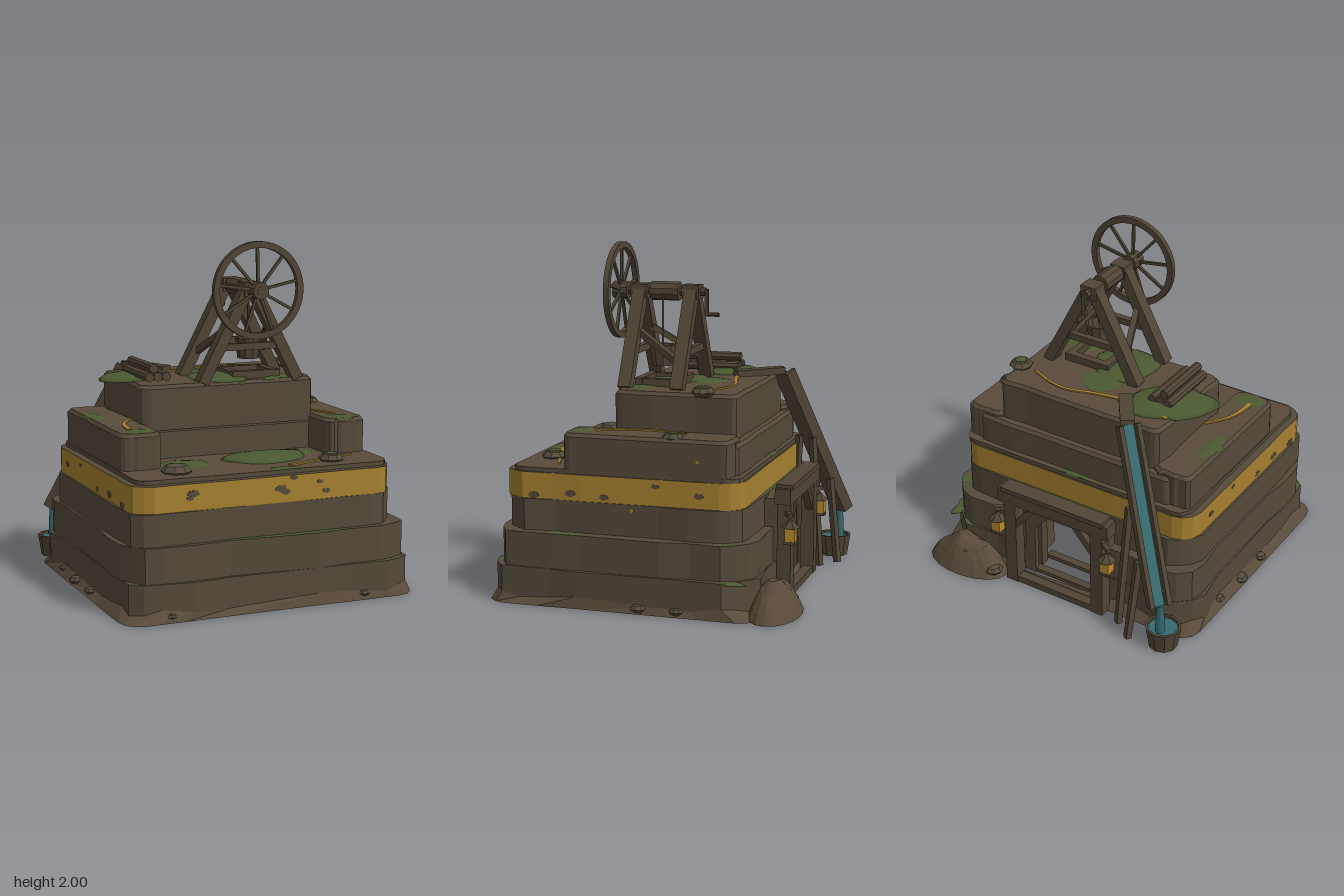
import * as THREE from 'three';

const mat = (name, color, side = THREE.FrontSide) => {
  const m = new THREE.MeshStandardMaterial({ color, side });
  m.name = name;
  return m;
};
const rock = mat('rock', 0x554a3b, THREE.DoubleSide);
const dirt = mat('dirt', 0x594b3b, THREE.DoubleSide);
const grass = mat('grass', 0x4a5a31, THREE.DoubleSide);
const gold = mat('gold ore', 0xa5802f, THREE.DoubleSide);
const wood = mat('wood', 0x504535);
const stone = mat('stone', 0x544c3d);
const water = mat('water', 0x36686e);
const glow = mat('lantern glass', 0xb88a2c);
const MATS = [rock, dirt, grass, gold];

const V = (x, y, z) => new THREE.Vector3(x, y, z);
const rng = (s) => () => ((s = (s * 16807) % 2147483647) / 2147483647);
const flat = (g) => {
  const f = g.index ? g.toNonIndexed() : g;
  f.computeVertexNormals();
  return f;
};

export function createModel() {
  const root = new THREE.Group();
  root.name = 'hilltopMine';

  const add = (name, geo, m, pos = [0, 0, 0], parent = root) => {
    const mesh = new THREE.Mesh(geo, m);
    mesh.name = name;
    mesh.position.set(...pos);
    parent.add(mesh);
    return mesh;
  };
  const box = (name, size, pos, m = wood, parent = root) => add(name, new THREE.BoxGeometry(...size), m, pos, parent);
  const beam = (name, a, b, w, h, parent = root) => {
    const mesh = box(name, [w, h, a.distanceTo(b)], a.clone().lerp(b, 0.5).toArray(), wood, parent);
    mesh.lookAt(b.clone().add(parent.position));
    return mesh;
  };
  const rod = (name, r, len, pos, sides = 10, parent = root) =>
    add(name, flat(new THREE.CylinderGeometry(r, r, len, sides).rotateX(Math.PI / 2)), wood, pos, parent);

  // Rounded, slightly uneven rectangle; 4 corner points then 4 side points per side
  const ring = (y, [x0, x1, z0, z1], r, jitter, seed) => {
    const rand = rng(seed * 7919 + 13), pts = [];
    const centres = [[x0 + r, z0 + r], [x1 - r, z0 + r], [x1 - r, z1 - r], [x0 + r, z1 - r]];
    const at = (c, a) => [centres[c][0] + r * Math.cos(a), centres[c][1] + r * Math.sin(a)];
    for (let c = 0; c < 4; c++) {
      const a0 = Math.PI * (1 + c / 2);
      for (let i = 0; i < 4; i++) pts.push(at(c, a0 + (i * Math.PI) / 6));
      const p = at(c, a0 + Math.PI / 2), q = at((c + 1) % 4, a0 + Math.PI / 2);
      for (const t of [0.15, 0.3, 0.7, 0.85]) pts.push([p[0] + (q[0] - p[0]) * t, p[1] + (q[1] - p[1]) * t]);
    }
    return pts.map(([x, z]) => {
      const k = 1 - jitter * rand();
      return V(x * k, y, z * k);
    });
  };
  // Skin between rings; pick(k, i) gives the material index, or -1 for a gap
  const loft = (name, rings, pick, cap = -1) => {
    const tris = [[], [], [], []];
    const put = (m, ...ps) => ps.forEach((p) => tris[m].push(p.x, p.y, p.z));
    const n = rings[0].length;
    for (let k = 0; k + 1 < rings.length; k++) for (let i = 0; i < n; i++) {
      const m = pick(k, i), j = (i + 1) % n, [a, b] = [rings[k], rings[k + 1]];
      if (m >= 0) put(m, a[i], b[i], a[j], a[j], b[i], b[j]);
    }
    if (cap >= 0) {
      const top = rings[rings.length - 1], mid = V(0, 0, 0);
      top.forEach((p) => mid.addScaledVector(p, 1 / n));
      top.forEach((p, i) => put(cap, p, mid, top[(i + 1) % n]));
    }
    const geo = new THREE.BufferGeometry();
    geo.setAttribute('position', new THREE.Float32BufferAttribute(tris.flat(), 3));
    let start = 0;
    tris.forEach((t, m) => {
      if (t.length) geo.addGroup(start, t.length / 3, m);
      start += t.length / 3;
    });
    geo.computeVertexNormals();
    return add(name, geo, MATS);
  };

  // Hollow stepped hill with a doorway at the back and mossy stretches on its ledges
  const bands = [
    [0.01, 0.21, [-0.88, 0.88, -0.69, 0.88], 0.05, 0.18],
    [0.21, 0.41, [-0.86, 0.86, -0.68, 0.86], 0.045, 0.18],
    [0.41, 0.59, [-0.835, 0.8, -0.615, 0.825], 0.035, 0.15],
    [0.59, 0.74, [-0.815, 0.775, -0.59, 0.807], 0.012, 0.12],
    [0.74, 0.765, [-0.775, 0.765, -0.58, 0.765], 0.01, 0.08],
  ];
  const moss = { 1: [8, 9, 10, 18, 19, 20, 22, 23, 24, 25, 26, 27, 28], 3: [14, 20, 21, 24, 25, 10], 5: [5, 19, 22, 23, 26], 7: [] };
  const hill = bands.flatMap(([y0, y1, e, j, r], s) => [y0, y1].map((y) => ring(y, e, r, j, s + 1)));
  loft('steppedHill', hill, (k, i) => {
    if (k < 5 && i === 5) return -1;
    if (k === 6) return 3;
    return k % 2 && moss[k].includes(i) ? 2 : 0;
  }, 1);
  loft('hollowCeiling', [hill[5].map((p) => V(p.x, 0.588, p.z))], () => 0, 0);
  const skirtTop = hill[0].map((p, i) => V(p.x, 0.05 + 0.018 * Math.sin(i * 1.9), p.z));
  loft('groundSkirt', [ring(0, [-0.895, 0.89, -0.71, 0.885], 0.12, 0.006, 9), skirtTop], () => 1);

  // Upper blocks with a small bevel round the top
  const block = (name, y0, y1, [x0, x1, z0, z1], seed) => {
    const w = (x1 - x0) / 2, d = (z1 - z0) / 2;
    const rings = [[y0, 0], [y1 - 0.02, 0], [y1, 0.015]].map(([y, i]) =>
      ring(y, [-w + i, w - i, -d + i, d - i], 0.05, 0.025, seed));
    loft(name, rings, () => 0, 1).position.set((x0 + x1) / 2, 0, (z0 + z1) / 2);
  };
  block('middleTier', 0.76, 0.94, [-0.67, 0.67, -0.55, 0.22], 11);
  block('topTier', 0.93, 1.19, [-0.55, 0.545, -0.5, 0.225], 12);
  block('sideShoulder', 0.76, 0.97, [-0.765, -0.515, -0.53, 0.48], 13);
  block('sideShoulder', 0.76, 0.97, [0.505, 0.765, -0.53, 0.46], 14);

  // Chips of rock breaking up the gold band, and specks of gold on the side rock
  const chip = (m, s, k, onSide, pos) => {
    const g = new THREE.CylinderGeometry(s / 2, s / 2, 0.008, 5).rotateX(Math.PI / 2).scale(k, 0.7, 1);
    add(m === gold ? 'goldSpeck' : 'rockChip', onSide ? g.rotateY(Math.PI / 2) : g, m, pos);
  };
  for (const [x, y, s] of [[-0.47, 0.685, 0.06], [-0.49, 0.66, 0.035], [0.05, 0.67, 0.06], [0.08, 0.65, 0.05], [0.13, 0.725, 0.04], [0.33, 0.635, 0.04], [0.29, 0.69, 0.035]])
    chip(rock, s, 1.3, false, [x, y, 0.803]);
  for (const [z, y, s] of [[0.62, 0.61, 0.06], [0.4, 0.63, 0.06], [0.2, 0.62, 0.05], [-0.1, 0.7, 0.04], [-0.35, 0.66, 0.05]])
    for (const x of [-0.811, 0.772]) chip(rock, s, 1.2, true, [x, y, z]);
  chip(gold, 0.05, 0.6, true, [0.792, 0.56, 0.03]);
  chip(gold, 0.03, 0.8, true, [0.763, 0.85, -0.34]);

  // Grass mounds: x, y, z, half sizes, height, turn
  for (const [x, y, z, rx, rz, h, turn] of [
    [-0.44, 1.185, -0.19, 0.26, 0.19, 0.035, 0.6], [0.0, 1.185, 0.03, 0.2, 0.21, 0.03, 0.2],
    [0.02, 1.185, -0.2, 0.14, 0.12, 0.015, 0], [0.33, 1.185, 0.12, 0.15, 0.09, 0.012, 0.4],
    [0.14, 0.76, 0.4, 0.27, 0.18, 0.035, 0.1], [0.34, 0.76, 0.33, 0.15, 0.11, 0.014, 0.3],
    [-0.38, 0.76, 0.41, 0.18, 0.13, 0.015, 0], [0.62, 0.962, 0.38, 0.1, 0.08, 0.014, 0],
    [-0.64, 0.962, 0.38, 0.11, 0.09, 0.014, 0], [-0.7, 0.962, -0.17, 0.055, 0.17, 0.014, 0],
    [0.1, 0.76, 0.72, 0.09, 0.035, 0.012, 0], [-0.03, 0.76, -0.56, 0.12, 0.02, 0.012, 0], [0.83, 0.2, -0.5, 0.045, 0.14, 0.015, 0],
  ]) {
    const g = new THREE.SphereGeometry(1, 20, 3, 0, Math.PI * 2, 0, Math.PI / 2);
    const p = g.attributes.position;
    for (let i = 0; i < p.count; i++) {
      const a = Math.atan2(p.getZ(i), p.getX(i)), k = 1 + 0.06 * Math.sin(3 * a + x * 20) + 0.04 * Math.sin(5 * a + z * 9);
      p.setXYZ(i, p.getX(i) * k, p.getY(i), p.getZ(i) * k);
    }
    add('grassPatch', g.scale(rx, h, rz), grass, [x, y, z]).rotation.y = turn;
  }

  // Gold veins lying on the flat tops
  const vein = (y, pts) => {
    const c = new THREE.CatmullRomCurve3(pts.map(([x, z]) => V(x, 0, z)));
    const ps = c.getPoints(16), l = [], r = [];
    ps.forEach((p, i) => {
      const t = c.getTangent(i / 16), w = 0.007 + 0.008 * (1 - i / 16);
      l.push(new THREE.Vector2(p.x - t.z * w, -p.z - t.x * w));
      r.unshift(new THREE.Vector2(p.x + t.z * w, -p.z + t.x * w));
    });
    const g = new THREE.ExtrudeGeometry(new THREE.Shape([...l, ...r]), { depth: 0.008, bevelEnabled: false });
    add('goldVein', g.rotateX(-Math.PI / 2), gold, [0, y, 0]);
  };
  vein(1.19, [[-0.51, -0.35], [-0.38, -0.32], [-0.18, -0.31], [0.02, -0.35], [0.14, -0.385], [0.26, -0.37], [0.41, -0.31]]);
  vein(0.97, [[0.63, 0.3], [0.57, 0.15], [0.55, -0.02], [0.61, -0.23]]);
  vein(0.97, [[-0.67, 0.35], [-0.64, 0.17], [-0.545, 0.02]]);
  vein(0.765, [[0.17, 0.67], [0.4, 0.6], [0.63, 0.52]]);

  // Loose flat boulders, some with a mossy top
  const boulder = (x, y, z, r, mossy) => {
    const lump = (s) => flat(new THREE.SphereGeometry(s, 8, 4).scale(1, 0.5, 1));
    add('boulder', lump(r), stone, [x, y, z]).rotation.y = x * 9;
    if (mossy) add('boulderMoss', lump(r * 0.7), grass, [x, y + r * 0.22, z]);
  };
  [[-0.49, 0.775, 0.6, 0.088, 0], [0.45, 0.775, 0.62, 0.075, 1], [0.52, 1.2, -0.3, 0.07, 1], [0.7, 0.97, -0.18, 0.062, 1],
    [-0.62, 0.03, 0.85, 0.035, 1], [0.55, 0.035, 0.85, 0.04, 0], [0.86, 0.03, -0.03, 0.05, 0], [0.86, 0.03, -0.25, 0.045, 0],
    [-0.86, 0.03, 0.2, 0.04, 0], [-0.86, 0.03, -0.05, 0.05, 0], [-0.85, 0.04, -0.3, 0.04, 0], [0.43, 0.04, -0.78, 0.06, 0],
    [0.75, 0.09, -0.78, 0.03, 0], [0.6, 0.13, -0.81, 0.025, 0]].forEach((b) => boulder(...b));

  // Spoil heap at the back corner
  const heap = new THREE.SphereGeometry(1, 18, 6, 0, Math.PI * 2, 0, Math.PI / 2);
  const hp = heap.attributes.position;
  for (let i = 0; i < hp.count; i++) {
    const y = Math.max(0, hp.getY(i));
    hp.setY(i, Math.pow(y, 2) * (1 + 0.08 * Math.sin(hp.getX(i) * 9)));
  }
  add('spoilHeap', flat(heap.scale(0.27, 0.2, 0.15)), dirt, [0.63, 0, -0.75]);

  // Hoist: two A-frames, axle, drum, wheel, crank, rope and bucket
  const hoist = new THREE.Group();
  hoist.name = 'hoist';
  hoist.position.x = 0.13;
  root.add(hoist);
  for (const z of [0.19, -0.12]) {
    for (const s of [-1, 1]) beam('frameLeg', V(s * 0.3, 1.185, z), V(s * 0.01, 1.74, z), 0.075, 0.065, hoist);
    box('crossbar', [0.36, 0.04, 0.04], [0, 1.385, z], wood, hoist);
    box('bearing', [0.1, 0.08, 0.1], [0, 1.72, z], wood, hoist);
  }
  for (const s of [-1, 1]) beam('sideBrace', V(s * 0.12, 1.5, 0.17), V(s * 0.21, 1.33, -0.1), 0.035, 0.035, hoist);
  rod('axle', 0.025, 0.56, [0, 1.72, 0.08], 8, hoist);
  rod('drum', 0.055, 0.17, [0, 1.72, 0.04], 10, hoist);
  rod('wheelHub', 0.05, 0.09, [0, 1.72, 0.312], 10, hoist);
  const rim = new THREE.Shape().absarc(0, 0, 0.28, 0, Math.PI * 2);
  rim.holes.push(new THREE.Path().absarc(0, 0, 0.243, 0, Math.PI * 2, true));
  add('wheelRim', new THREE.ExtrudeGeometry(rim, { depth: 0.032, bevelEnabled: false, curveSegments: 28 }), wood, [0, 1.72, 0.296], hoist);
  for (let i = 0; i < 9; i++) {
    const a = (i / 9) * Math.PI * 2 + 0.2;
    const spoke = box('wheelSpoke', [0.23, 0.016, 0.016], [Math.cos(a) * 0.14, 1.72 + Math.sin(a) * 0.14, 0.312], wood, hoist);
    spoke.rotation.z = a;
  }
  box('crankArm', [0.025, 0.15, 0.02], [0, 1.66, -0.205], wood, hoist);
  rod('crankHandle', 0.012, 0.08, [0, 1.59, -0.24], 8, hoist);
  add('rope', new THREE.CylinderGeometry(0.007, 0.007, 0.3, 6), wood, [0.06, 1.56, 0.04], hoist);
  const pail = (name, r, h, pos, parent = root) => {
    const p = [[0, 0], [r * 0.8, 0], [r, h], [r * 0.85, h], [r * 0.7, h * 0.2], [0, h * 0.2]];
    add(name, flat(new THREE.LatheGeometry(p.map((q) => new THREE.Vector2(...q)), 10)), wood, pos, parent);
  };
  pail('hoistBucket', 0.08, 0.12, [0.06, 1.295, 0.04], hoist);
  for (const s of [-1, 1]) {
    box('shaftCurb', [0.3, 0.05, 0.045], [0.06, 1.21, 0.03 + s * 0.11], wood, hoist);
    box('shaftCurb', [0.045, 0.045, 0.22], [0.06 + s * 0.125, 1.21, 0.03], wood, hoist);
  }

  // Stack of logs on the top tier
  for (const [x, y, l] of [[-0.465, 1.225, 0.4], [-0.41, 1.225, 0.38], [-0.36, 1.225, 0.39], [-0.435, 1.275, 0.38]])
    rod('stackedLog', 0.028, l, [x, y, -0.07], 8);

  // Mine entrance: short tunnel with an arched end, timber frame, sill and lanterns
  for (const s of [-1, 1]) {
    box('tunnelWall', [0.02, 0.57, 0.36], [s * 0.31, 0.285, -0.5], rock);
    box('doorPost', [0.08, 0.56, 0.08], [s * 0.3, 0.28, -0.725]);
    box('innerPost', [0.06, 0.5, 0.06], [s * 0.26, 0.25, -0.52]);
    beam('doorBrace', V(s * 0.28, 0.4, -0.735), V(s * 0.14, 0.56, -0.735), 0.04, 0.04);
    beam('lanternBracket', V(s * 0.33, 0.5, -0.74), V(s * 0.4, 0.5, -0.78), 0.025, 0.025);
    box('lanternGlass', [0.06, 0.085, 0.06], [s * 0.38, 0.39, -0.775], glow);
    box('lanternBase', [0.065, 0.018, 0.065], [s * 0.38, 0.343, -0.775]);
    add('lanternCap', flat(new THREE.ConeGeometry(0.055, 0.05, 6)), wood, [s * 0.38, 0.455, -0.775]);
  }
  box('tunnelRoof', [0.64, 0.02, 0.36], [0, 0.565, -0.5], rock);
  const arch = new THREE.Shape([[-0.31, 0], [-0.22, 0], [-0.22, 0.32], [-0.13, 0.43], [0.13, 0.43], [0.22, 0.32], [0.22, 0], [0.31, 0], [0.31, 0.56], [-0.31, 0.56]]
    .map((p) => new THREE.Vector2(...p)));
  add('tunnelArch', new THREE.ExtrudeGeometry(arch, { depth: 0.03, bevelEnabled: false }), rock, [0, 0, -0.63]);
  box('lintel', [0.76, 0.09, 0.09], [0, 0.6, -0.725]);
  box('lintelCap', [0.7, 0.03, 0.1], [0, 0.65, -0.73]);
  box('innerLintel', [0.58, 0.06, 0.06], [0, 0.5, -0.52]);
  box('doorSill', [0.6, 0.04, 0.06], [0, 0.02, -0.73]);
  for (const z of [-0.6, -0.45]) box('trackTie', [0.5, 0.025, 0.05], [0, 0.015, z]);

  // Water trough running down from the top tier, on trestles
  const head = V(-0.36, 1.2, -0.53), foot = V(-0.75, 0.29, -0.82);
  const trough = new THREE.Group();
  trough.name = 'waterTrough';
  trough.position.copy(head).lerp(foot, 0.5);
  root.add(trough);
  trough.lookAt(foot);
  const len = head.distanceTo(foot);
  box('troughFloor', [0.12, 0.02, len], [0, 0, 0], wood, trough);
  for (const s of [-1, 1]) box('troughSide', [0.026, 0.07, len], [s * 0.052, 0.025, 0], wood, trough);
  box('flowingWater', [0.062, 0.012, len], [0, 0.016, 0], water, trough);
  beam('feedPlank', V(-0.37, 1.215, -0.54), V(-0.2, 1.205, -0.29), 0.08, 0.04);
  for (const t of [0.42, 0.72]) {
    const top = head.clone().lerp(foot, t);
    top.y -= 0.03;
    for (const s of [-1, 1])
      beam('trestleLeg', V(top.x + s * 0.075, 0, top.z - s * 0.11), V(top.x + s * 0.04, top.y, top.z - s * 0.05), 0.035, 0.035);
  }
  pail('catchBucket', 0.105, 0.13, [-0.765, 0, -0.785]);
  add('bucketWater', new THREE.CylinderGeometry(0.09, 0.09, 0.01, 10), water, [-0.765, 0.112, -0.785]);
  add('fallingWater', new THREE.CylinderGeometry(0.02, 0.03, 0.19, 6), water, [-0.765, 0.2, -0.82]);

  return root;
}
